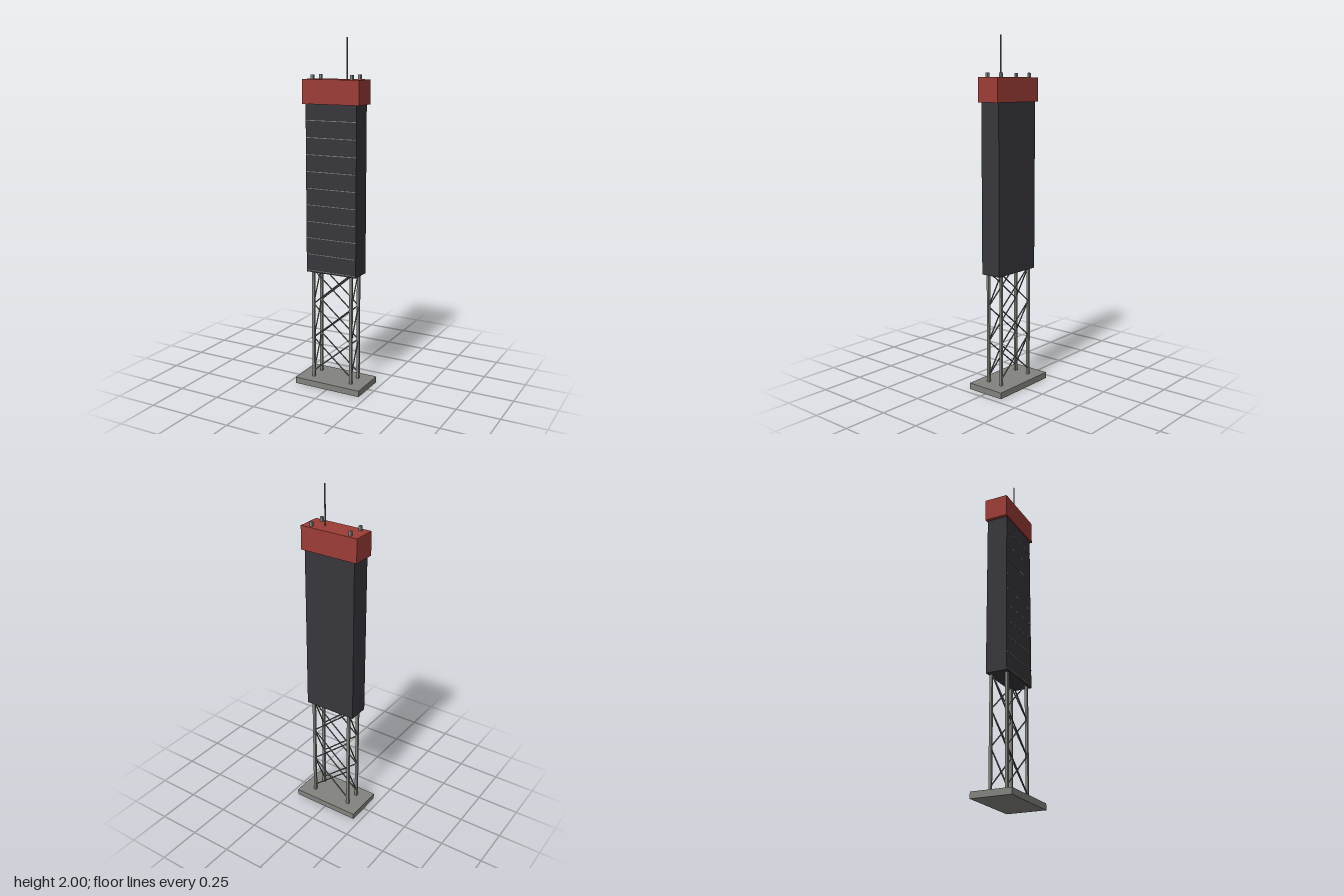
import * as THREE from 'three';

const flat = (name, color) => {
  const m = new THREE.MeshStandardMaterial({ color });
  m.name = name;
  return m;
};

export function createModel() {
  const group = new THREE.Group();
  group.name = 'signTower';
  const concrete = flat('concrete grey', 0x82827e);
  const steel = flat('steel grey', 0x6c6f72);
  const dark = flat('dark panel', 0x37363c);
  const red = flat('red cap', 0x9c3c37);

  const add = (name, geometry, material, x, y, z) => {
    const mesh = new THREE.Mesh(geometry, material);
    mesh.name = name;
    mesh.position.set(x, y, z);
    group.add(mesh);
    return mesh;
  };
  // box spanning y0..y1, centred on x, z
  const box = (name, mat, w, d, y0, y1, x = 0, z = 0) =>
    add(name, new THREE.BoxGeometry(w, y1 - y0, d), mat, x, (y0 + y1) / 2, z);

  // slender rod between two points
  const up = new THREE.Vector3(0, 1, 0);
  const rod = (name, a, b, r) => {
    const dir = b.clone().sub(a);
    const mid = a.clone().add(b).multiplyScalar(0.5);
    const mesh = add(name, new THREE.CylinderGeometry(r, r, dir.length(), 8), steel, mid.x, mid.y, mid.z);
    mesh.quaternion.setFromUnitVectors(up, dir.normalize());
  };

  // foundation, panel body and cap
  box('base', concrete, 0.416, 0.234, 0, 0.036);
  box('panelBody', dark, 0.316, 0.124, 0.68, 1.64);
  box('cap', red, 0.352, 0.138, 1.64, 1.775);

  // four posts running through the tower
  const px = 0.122, pz = 0.047;
  for (const sx of [-1, 1]) for (const sz of [-1, 1])
    box('post', concrete, 0.016, 0.014, 0.036, 1.8, sx * px, sz * pz);

  // lattice: crossed braces front and back, single diagonals on the sides
  for (let i = 0; i < 3; i++) {
    const y0 = 0.072 + i * 0.207, y1 = y0 + 0.207;
    for (const s of [-1, 1]) {
      for (const d of [-1, 1])
        rod('crossBrace', new THREE.Vector3(-d * px, y0, s * pz), new THREE.Vector3(d * px, y1, s * pz), 0.0038);
      rod('sideBrace', new THREE.Vector3(s * px, y0, pz), new THREE.Vector3(s * px, y1, -pz), 0.0038);
    }
  }

  // thin seams across the front of the panel
  for (let i = 0; i < 10; i++) {
    const y = 0.691 + i * 0.0955;
    box('panelSeam', concrete, 0.312, 0.003, y - 0.002, y + 0.002, 0, 0.0625);
  }

  // antenna on the cap
  rod('antenna', new THREE.Vector3(0.068, 1.775, 0), new THREE.Vector3(0.068, 2, 0), 0.004);

  return group;
}
